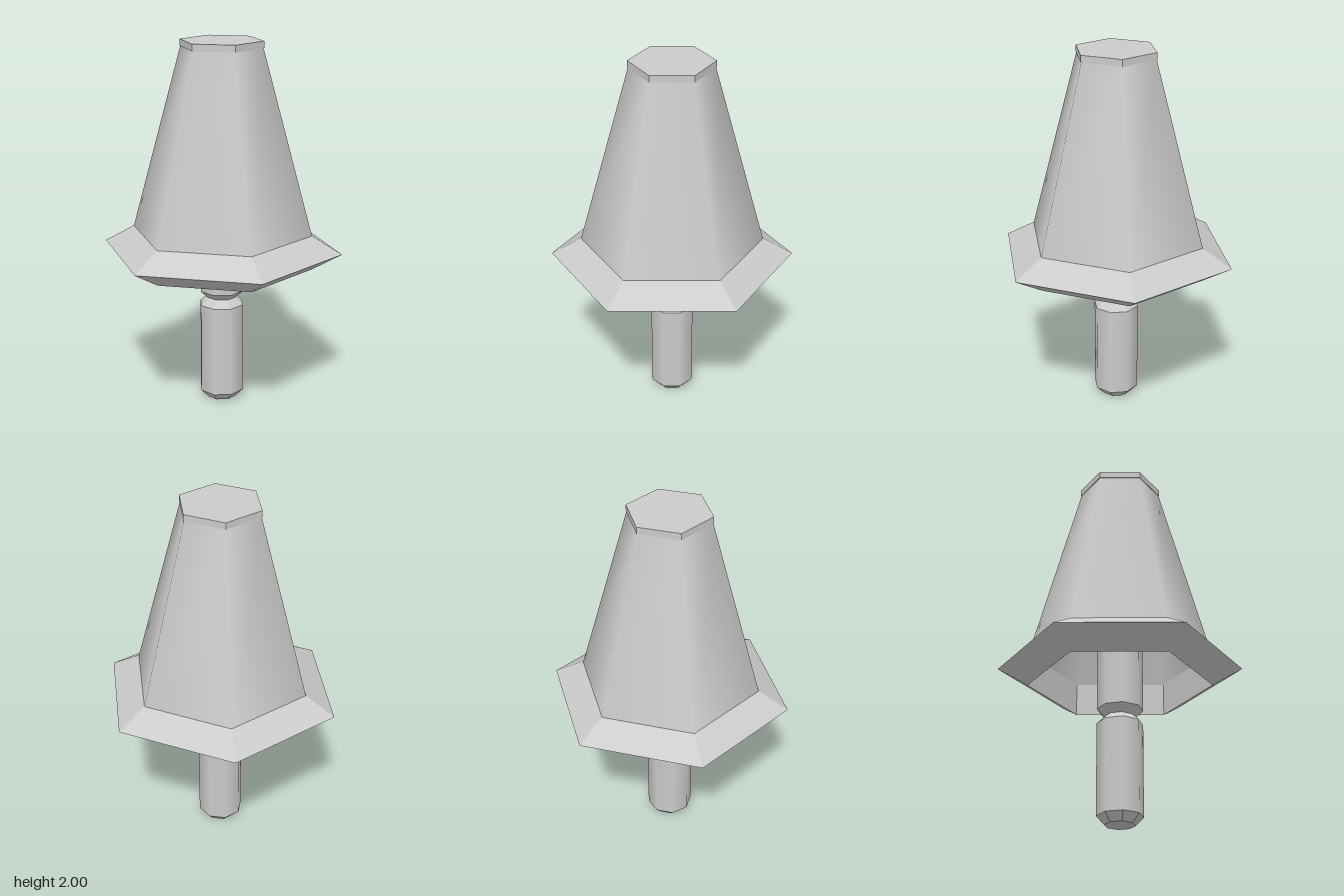
import * as THREE from 'three';

const smooth = new THREE.MeshStandardMaterial({ color: 0xcccccc, side: THREE.DoubleSide });
const flat = new THREE.MeshStandardMaterial({ color: 0xcccccc, flatShading: true });

// Prism or frustum between two heights
function frustum(name, sides, start, [rBottom, yBottom], [rTop, yTop], material, open = true) {
  const geometry = new THREE.CylinderGeometry(rTop, rBottom, yTop - yBottom, sides, 1, open, start);
  const mesh = new THREE.Mesh(geometry, material);
  mesh.name = name;
  mesh.position.y = (yBottom + yTop) / 2;
  return mesh;
}

export function createModel() {
  const model = new THREE.Group();
  model.name = 'hexagonalShadeOnPost';
  const hex = Math.PI / 2; // corners on the x axis
  const oct = Math.PI / 8; // flat sides facing front and side

  // Hollow tapering shade with a short flat-topped cap
  model.add(frustum('shade', 6, hex, [0.497, 0.96], [0.222, 1.965], smooth));
  model.add(frustum('cap', 6, hex, [0.226, 1.963], [0.226, 2], flat, false));

  // Flared rim: triangular section with an upright inner wall
  const section = [[0.497, 0.965], [0.497, 0.775], [0.66, 0.87], [0.497, 0.965]]
    .map(([r, y]) => new THREE.Vector2(r, y));
  const rim = new THREE.Mesh(new THREE.LatheGeometry(section, 6, hex), flat);
  rim.name = 'rim';
  model.add(rim);

  // Octagonal post: smooth shafts with flat chamfers around a narrow neck
  const R = 0.124, r = 0.082;
  const post = new THREE.Group();
  post.name = 'post';
  post.add(
    frustum('footChamfer', 8, oct, [r, 0], [R, 0.045], flat, false),
    frustum('lowerShaft', 8, oct, [R, 0.045], [R, 0.55], smooth),
    frustum('neckLowerChamfer', 8, oct, [R, 0.55], [r, 0.59], flat),
    frustum('neckUpperChamfer', 8, oct, [r, 0.59], [R, 0.63], flat),
    frustum('upperShaft', 8, oct, [R, 0.63], [R, 1.9], smooth),
  );
  model.add(post);

  return model;
}
